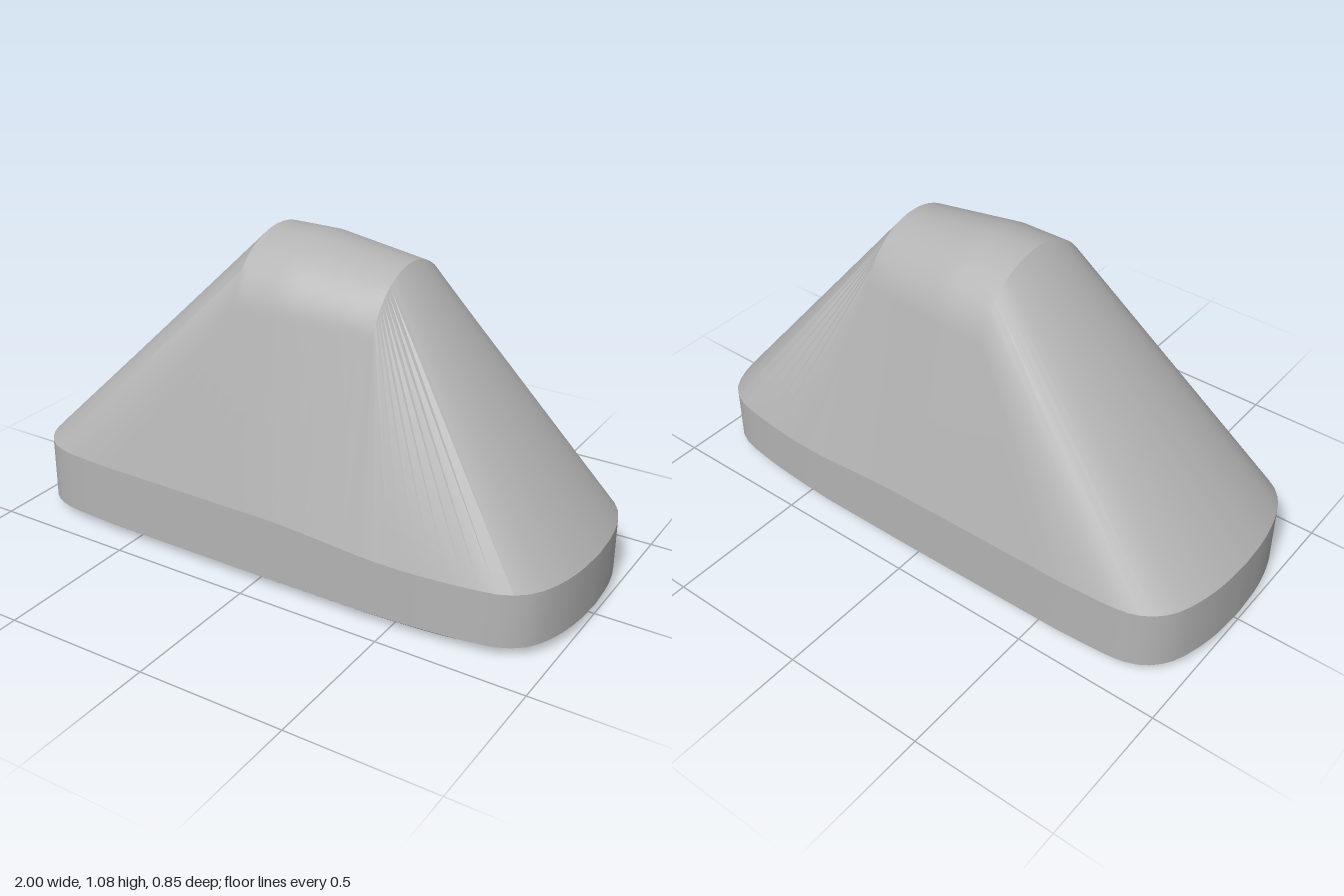
import * as THREE from 'three';
import { toCreasedNormals } from 'three/addons/utils/BufferGeometryUtils.js';

const SHOULDER = 1.318;          // arch half-angle where it meets the sloping flank
const XL = -0.17, XR = 0.32;     // ends of the rounded ridge
const END_STEPS = 18, SIDE_STEPS = 6;

const { lerp, smoothstep } = THREE.MathUtils;

// Point on the rounded ridge at station x and angle a from the crown
function ridgePoint(x, a) {
  const t = Math.max(0, x / XR);
  const r = lerp(0.277, 0.24, t), cy = lerp(0.798, 0.79, t);
  return new THREE.Vector3(x, cy + r * Math.cos(a), r * Math.sin(a));
}

// Evenly spaced footprint points along a rounded end
function endCurve(points) {
  const curve = new THREE.CatmullRomCurve3(points.map(([x, z]) => new THREE.Vector3(x, 0, z)));
  return curve.getSpacedPoints(END_STEPS);
}

// Joins two equally long rows of points with quads
function strip(out, low, high, closed) {
  const n = low.length;
  for (let i = 0; i < (closed ? n : n - 1); i++) {
    const j = (i + 1) % n;
    for (const p of [low[i], low[j], high[j], low[i], high[j], high[i]]) out.push(p.x, p.y, p.z);
  }
}

function geometryOf(positions, crease) {
  const g = new THREE.BufferGeometry();
  g.setAttribute('position', new THREE.Float32BufferAttribute(positions, 3));
  return toCreasedNormals(g, crease);
}

export function createModel() {
  const group = new THREE.Group();
  const grey = new THREE.MeshStandardMaterial({ color: 0xb4b4b4 });
  const add = (name, positions, crease) => {
    const mesh = new THREE.Mesh(geometryOf(positions, crease), grey);
    mesh.name = name;
    group.add(mesh);
  };

  // Matching footprint and ridge points for the +z half, from -x to +x
  const leftEnd = endCurve([[-1, 0], [-0.992, 0.13], [-0.97, 0.235], [-0.94, 0.31],
    [-0.89, 0.367], [-0.82, 0.4], [-0.6, 0.42]]);
  const rightEnd = endCurve([[0.4, 0.424], [0.6, 0.412], [0.75, 0.395], [0.85, 0.373],
    [0.92, 0.325], [0.965, 0.24], [0.991, 0.13], [1, 0]]);
  const half = [];
  const stations = [XL];
  leftEnd.forEach((p, i) => half.push([p.x, p.z, ridgePoint(XL, SHOULDER * i / END_STEPS)]));
  const flank = (x0, z0, x1, z1, r0, r1) => {
    for (let i = 1; i <= SIDE_STEPS; i++) {
      const t = i / SIDE_STEPS, rx = lerp(r0, r1, t);
      stations.push(rx);
      half.push([lerp(x0, x1, t), lerp(z0, z1, t), ridgePoint(rx, SHOULDER)]);
    }
  };
  flank(-0.6, 0.42, 0, 0.425, XL, 0);
  flank(0, 0.425, 0.4, 0.424, 0, XR);
  rightEnd.slice(1).forEach((p, i) =>
    half.push([p.x, p.z, ridgePoint(XR, SHOULDER * (1 - (i + 1) / END_STEPS))]));

  // Mirror to a closed loop
  const mirrored = half.slice(1, -1).reverse()
    .map(([x, z, t]) => [x, -z, new THREE.Vector3(t.x, t.y, -t.z)]);
  const loop = [...half, ...mirrored];

  const top = loop.map(([, , t]) => t);
  const rim = loop.map(([x, z]) =>
    new THREE.Vector3(x, lerp(0.25, 0.217, smoothstep(x, 0, 0.6)), z));
  const wallFoot = loop.map(([x, z]) => new THREE.Vector3(x, 0.034, z));
  const sole = loop.map(([x, z]) =>
    new THREE.Vector3(x * 0.965, 0.014 * smoothstep(Math.abs(x), 0.65, 1), z * 0.895));

  // Sloping body with the rounded ridge on top
  const body = [];
  strip(body, rim, top, true);
  const arch = (x) => Array.from({ length: 2 * END_STEPS + 1 },
    (_, i) => ridgePoint(x, SHOULDER * (i / END_STEPS - 1)));
  for (let i = 0; i < stations.length - 1; i++) strip(body, arch(stations[i]), arch(stations[i + 1]), false);
  add('slopedBody', body, 0.45);

  // Upright band around the foot
  const wall = [];
  strip(wall, wallFoot, rim, true);
  add('baseWall', wall, 0.6);

  // Chamfer under the band
  const chamfer = [];
  strip(chamfer, sole, wallFoot, true);
  add('baseChamfer', chamfer, 0.6);

  // Underside
  const under = [];
  sole.forEach((p, i) => {
    const q = sole[(i + 1) % sole.length];
    under.push(0, 0, 0, q.x, q.y, q.z, p.x, p.y, p.z);
  });
  add('underside', under, 0.3);

  return group;
}
